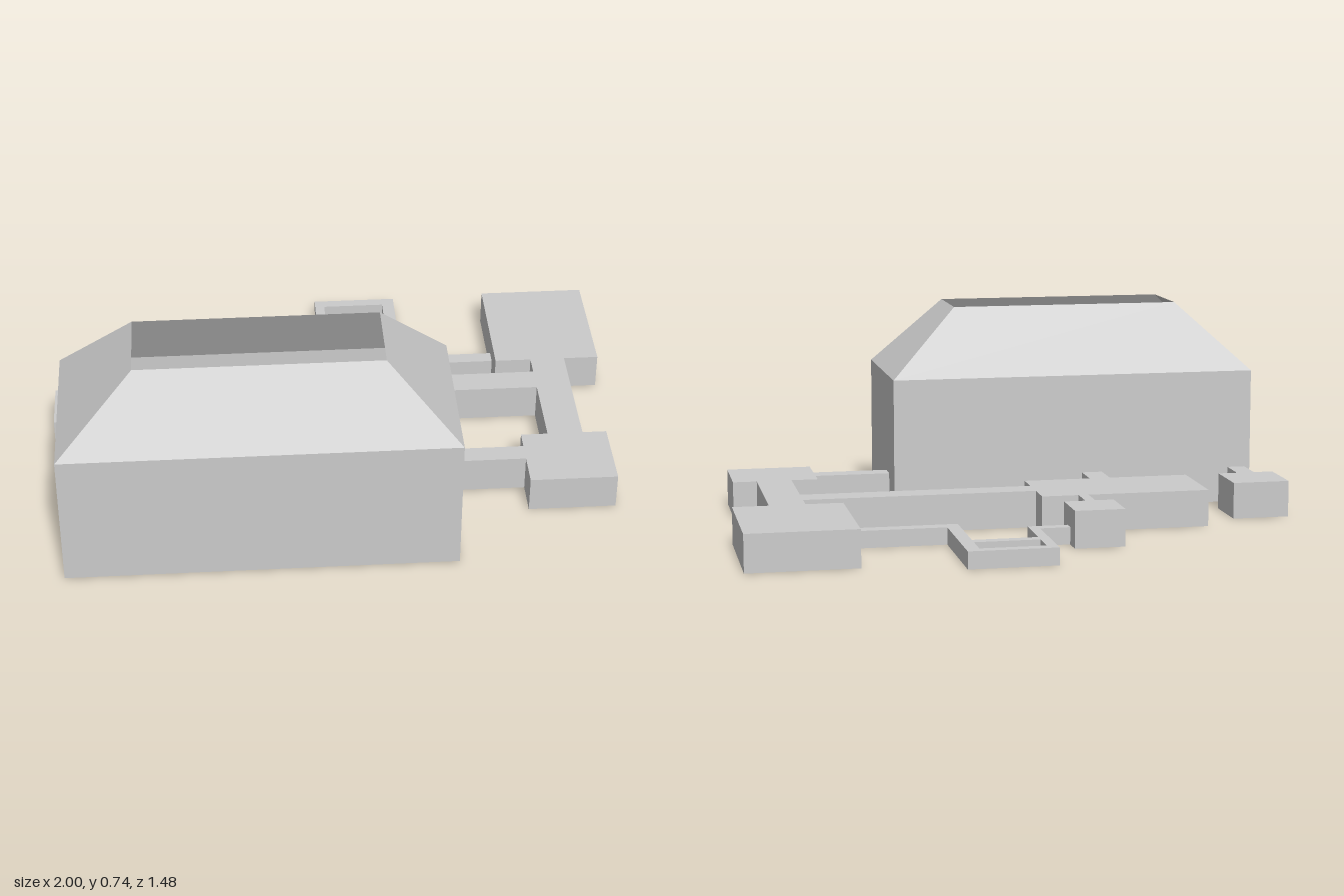
import * as THREE from 'three';

const grey = new THREE.MeshStandardMaterial({ color: 0xcccccc, flatShading: true, side: THREE.DoubleSide });

// Flat-topped block on the ground, given by its plan limits and height
function block(group, name, x0, x1, z0, z1, h) {
  const mesh = new THREE.Mesh(new THREE.BoxGeometry(x1 - x0, h, z1 - z0), grey);
  mesh.position.set((x0 + x1) / 2, h / 2, (z0 + z1) / 2);
  mesh.name = name;
  group.add(mesh);
}

// Four-sided band joining rectangular rings [x0, x1, z0, z1, y]
function ringShell(rings) {
  const pos = [];
  for (let r = 0; r < rings.length - 1; r++) {
    const [lo, hi] = [rings[r], rings[r + 1]].map(([x0, x1, z0, z1, y]) =>
      [[x0, y, z1], [x1, y, z1], [x1, y, z0], [x0, y, z0]]);
    for (let i = 0; i < 4; i++) {
      const j = (i + 1) % 4;
      pos.push(...lo[i], ...lo[j], ...hi[j], ...lo[i], ...hi[j], ...hi[i]);
    }
  }
  const g = new THREE.BufferGeometry();
  g.setAttribute('position', new THREE.Float32BufferAttribute(pos, 3));
  g.computeVertexNormals();
  return g;
}

export function createModel() {
  const model = new THREE.Group();
  model.name = 'buildingComplex';

  // Great hall: hollow walls and sloped roof, open at the top
  const hall = new THREE.Group();
  hall.name = 'hall';
  const base = [-0.95, 0.385, 0.17, 0.74];
  const walls = new THREE.Mesh(ringShell([[...base, 0], [...base, 0.49]]), grey);
  walls.name = 'hallWalls';
  const roof = new THREE.Mesh(ringShell([[...base, 0.49], [-0.69, 0.14, 0.303, 0.575, 0.735]]), grey);
  roof.name = 'hallRoofSlopes';
  const floor = new THREE.Mesh(new THREE.PlaneGeometry(1.335, 0.57).rotateX(-Math.PI / 2), grey);
  floor.position.set(-0.2825, 0.004, 0.455);
  floor.name = 'hallFloor';
  hall.add(walls, roof, floor);
  model.add(hall);

  // Rooms
  const H = 0.13;
  const rooms = new THREE.Group();
  rooms.name = 'rooms';
  block(rooms, 'westRoom', -1, -0.795, -0.14, 0.05, H);
  block(rooms, 'middleRoom', -0.67, -0.07, -0.245, 0.05, H);
  block(rooms, 'smallRoom', -0.3, -0.125, -0.51, -0.345, H);
  block(rooms, 'backRoom', 0.62, 1, -0.655, -0.215, H);
  block(rooms, 'eastRoom', 0.655, 0.96, 0.23, 0.485, H);
  model.add(rooms);

  // Full-height corridors
  const corridors = new THREE.Group();
  corridors.name = 'corridors';
  block(corridors, 'westCorridor', -0.93, -0.865, 0.05, 0.17, H);
  block(corridors, 'middleCorridor', -0.385, -0.31, 0.05, 0.17, H);
  block(corridors, 'eastCorridor', 0.385, 0.655, 0.295, 0.365, H);
  block(corridors, 'longCorridor', -0.07, 0.75, -0.14, -0.045, H);
  block(corridors, 'crossCorridor', 0.75, 0.875, -0.215, 0.23, H);
  block(corridors, 'smallRoomCorridor', -0.235, -0.2, -0.345, -0.245, H);
  model.add(corridors);

  // Low winding passage with a looped end
  const h = 0.06;
  const passage = new THREE.Group();
  passage.name = 'lowPassage';
  block(passage, 'passageWestEnd', -0.125, -0.02, -0.44, -0.4, h);
  block(passage, 'passageWestArm', -0.02, 0.015, -0.705, -0.4, h);
  block(passage, 'passageBack', -0.02, 0.285, -0.742, -0.705, h);
  block(passage, 'passageCrossbar', 0.015, 0.24, -0.61, -0.572, h);
  block(passage, 'passageEastArm', 0.24, 0.285, -0.705, -0.31, h);
  block(passage, 'passageEastEnd', 0.285, 0.62, -0.36, -0.31, h);
  model.add(passage);

  return model;
}
